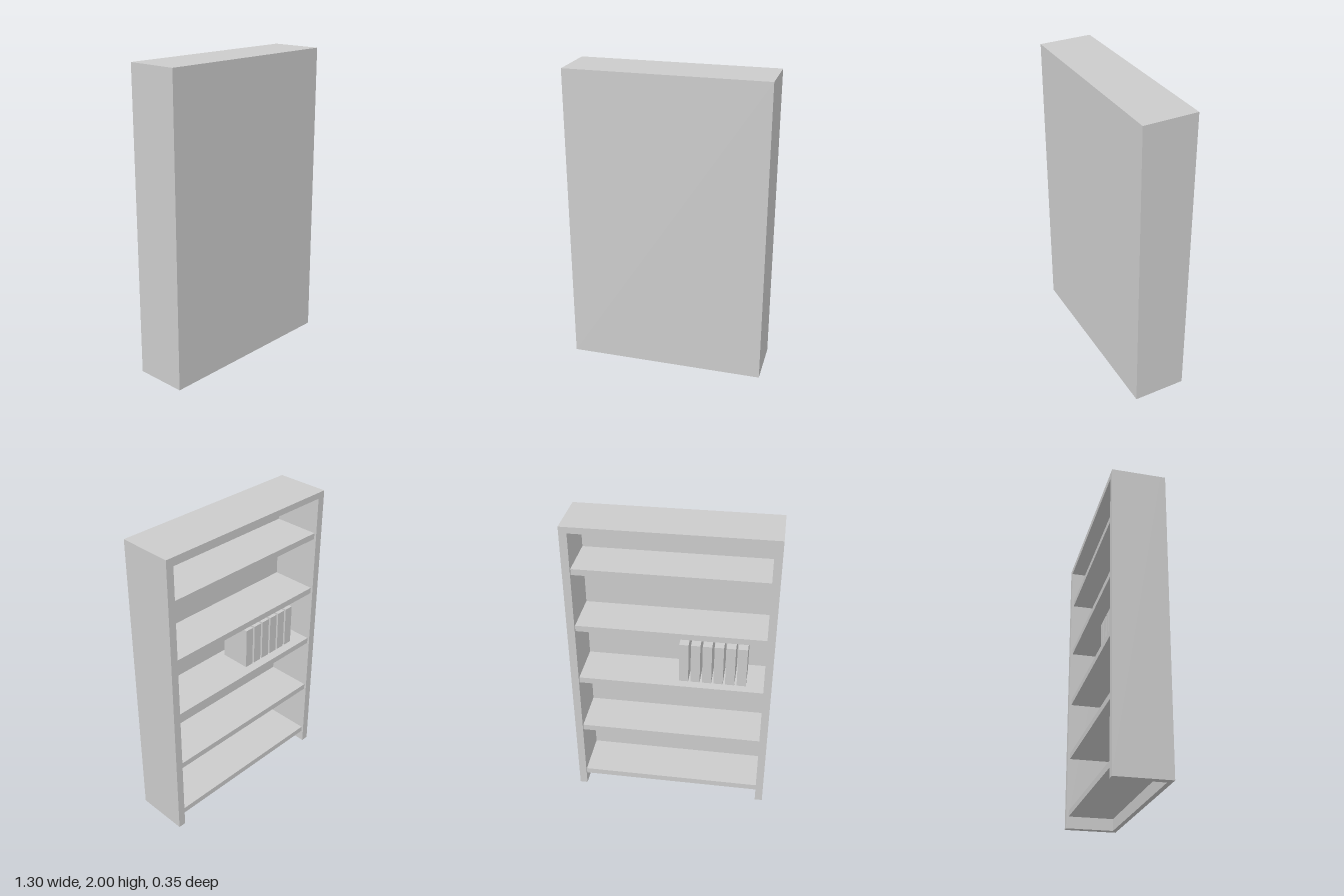
import * as THREE from 'three';

const W = 1.3, H = 2, D = 0.35;             // overall size
const SIDE = 0.05, TOP = 0.04, PANEL = 0.03; // board thicknesses

export function createModel() {
  const group = new THREE.Group();
  group.name = 'bookcase';
  const material = new THREE.MeshStandardMaterial({ color: 0xcccccc });

  // Board given by its minimum and maximum corners
  function board(name, [x0, y0, z0], [x1, y1, z1]) {
    const mesh = new THREE.Mesh(new THREE.BoxGeometry(x1 - x0, y1 - y0, z1 - z0), material);
    mesh.position.set((x0 + x1) / 2, (y0 + y1) / 2, (z0 + z1) / 2);
    mesh.name = name;
    group.add(mesh);
  }

  const inner = W / 2 - SIDE;
  const panelZ = D / 2 - PANEL;

  // Carcass: closed panel at +z, open towards -z
  board('leftSide', [inner, 0, -D / 2], [W / 2, H, panelZ]);
  board('rightSide', [-W / 2, 0, -D / 2], [-inner, H, panelZ]);
  board('topBoard', [-inner, H - TOP, -D / 2], [inner, H, panelZ]);
  board('panel', [-W / 2, 0, panelZ], [W / 2, H, D / 2]);

  // Five evenly spaced shelves, slightly set back from the opening
  for (let i = 0; i < 5; i++) {
    const y = 0.1 + i * 0.4;
    board(`shelf${i + 1}`, [-inner, y - 0.02, -D / 2 + 0.015], [inner, y + 0.02, panelZ]);
  }

  // Row of books standing on the middle shelf
  for (let i = 0; i < 6; i++) {
    const x = -0.08 - i * 0.075;
    board(`book${i + 1}`, [x - 0.03, 0.92, -0.1], [x + 0.03, 1.2, 0.1]);
  }

  return group;
}
